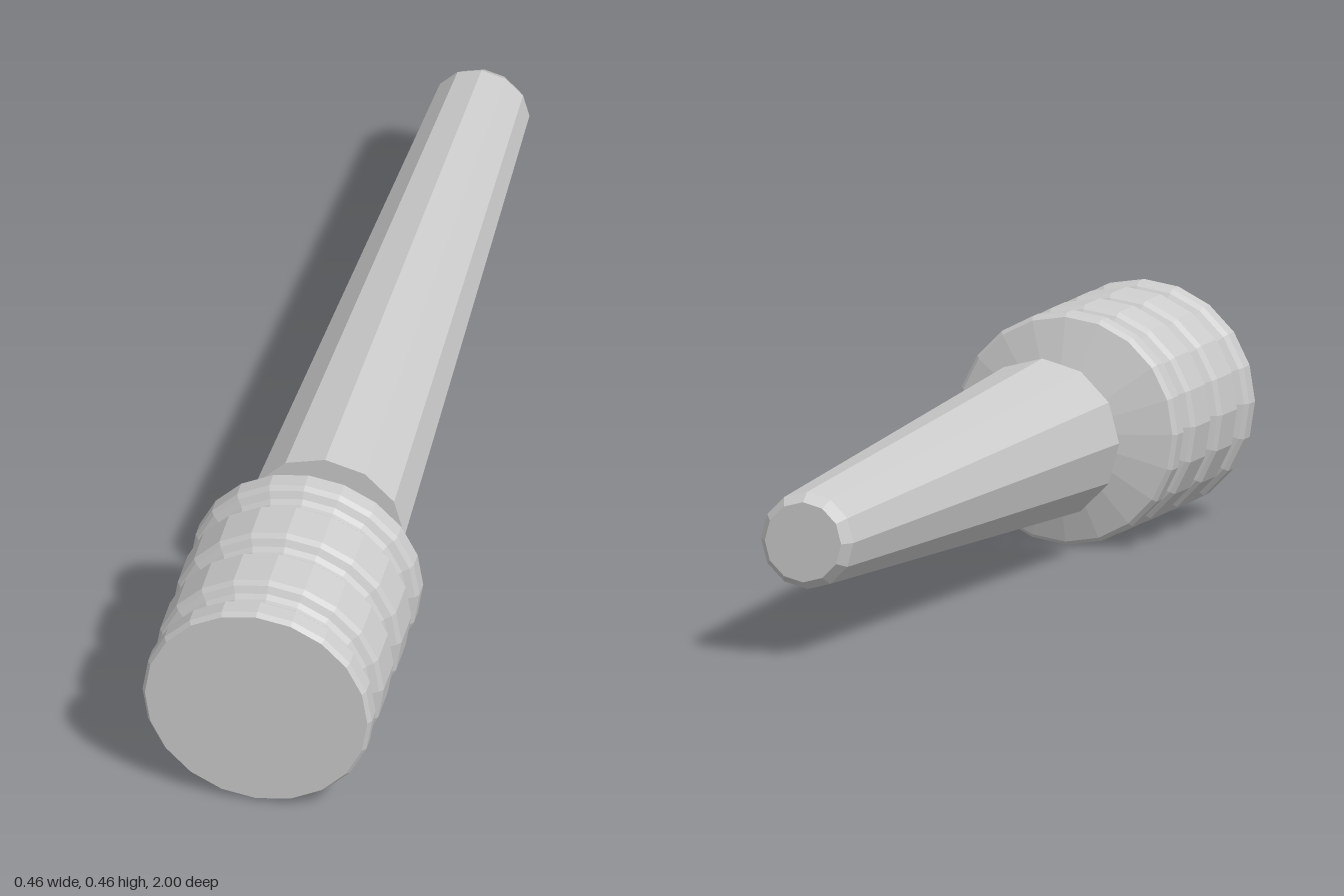
import * as THREE from 'three';

const AXIS_HEIGHT = 0.233;

// Solid turned around the z axis from [radius, z] points, listed back to front.
function turned(name, points, sides, material) {
  const profile = points.map(([r, z]) => new THREE.Vector2(r, z));
  const geometry = new THREE.LatheGeometry(profile, sides).rotateX(Math.PI / 2);
  const mesh = new THREE.Mesh(geometry, material);
  mesh.name = name;
  mesh.position.y = AXIS_HEIGHT;
  return mesh;
}

export function createModel() {
  const grey = new THREE.MeshStandardMaterial({ color: 0xcccccc, flatShading: true });
  grey.name = 'grey';

  const model = new THREE.Group();
  model.name = 'mallet';

  // Head: conical back, then ribs with bevelled rims and rounded grooves between
  const R = 0.232;
  const ribs = [[0.53, 0.583], [0.635, 0.74], [0.79, 0.895], [0.947, 1]];
  const head = [[0, 0.468]];
  ribs.forEach(([back, front], i) => {
    head.push([R - 0.008, back], [R, back + 0.01], [R, front - 0.01], [R - 0.007, front]);
    if (i < ribs.length - 1) {
      const next = ribs[i + 1][0];
      head.push([0.211, front + 0.008], [0.204, front + 0.018],
        [0.204, next - 0.018], [0.211, next - 0.008]);
    }
  });
  head.push([0, 1]);
  model.add(turned('head', head, 20, grey));

  // Tapered handle with a bevelled end, separate from the head
  const handle = [[0, -1], [0.08, -1], [0.097, -0.975], [0.161, 0.395], [0, 0.395]];
  model.add(turned('handle', handle, 12, grey));

  return model;
}
